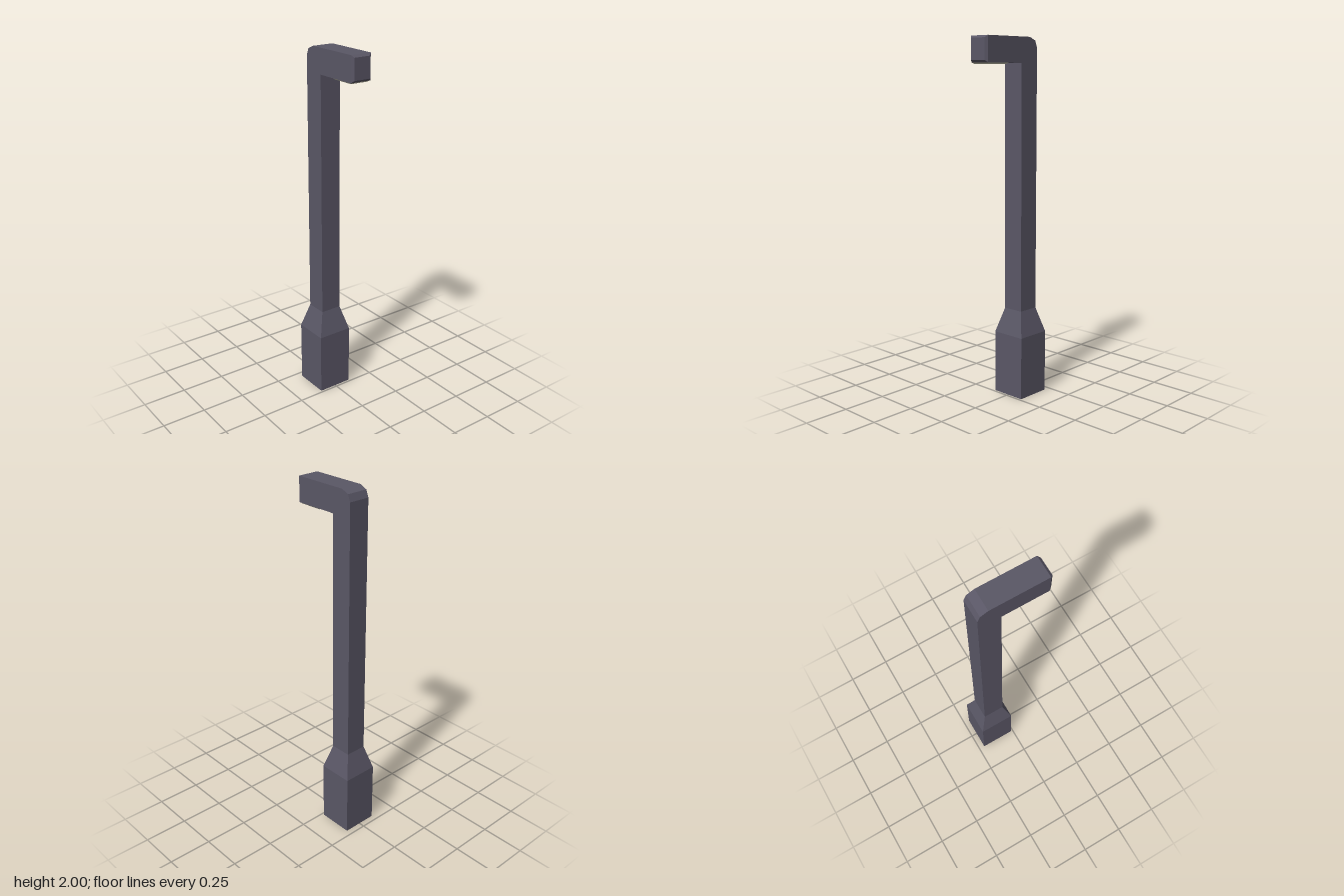
import * as THREE from 'three';

const metal = new THREE.MeshStandardMaterial({ color: 0x5a5766, flatShading: true });
const glow = new THREE.MeshStandardMaterial({ color: 0xc8c5b0, flatShading: true });

// Box standing on y = 0 whose top is drawn in by `inset` on every side
function taperedBox(w, h, d, inset) {
  const geo = new THREE.BoxGeometry(w, h, d).translate(0, h / 2, 0);
  const p = geo.attributes.position;
  for (let i = 0; i < p.count; i++) {
    if (p.getY(i) < h / 2) continue;
    p.setX(i, p.getX(i) - Math.sign(p.getX(i)) * inset);
    p.setZ(i, p.getZ(i) - Math.sign(p.getZ(i)) * inset);
  }
  geo.computeVertexNormals();
  return geo;
}

export function createModel() {
  const group = new THREE.Group();
  const add = (name, geo, mat, x, y, z) => {
    const mesh = new THREE.Mesh(geo, mat);
    mesh.name = name;
    mesh.position.set(x, y, z);
    group.add(mesh);
    return mesh;
  };
  const postZ = -0.114;

  // Square foot and its sloping shoulder
  add('base', taperedBox(0.202, 0.355, 0.202, 0), metal, 0, 0, postZ);
  add('shoulder', taperedBox(0.202, 0.14, 0.202, 0.04), metal, 0, 0.355, postZ);

  // Post and arm: one side profile (z, y) with a bevelled rear corner
  const profile = new THREE.Shape([
    [-0.175, 0.495], [-0.053, 0.495], [-0.053, 1.863], [0.2, 1.863], [0.2, 2],
    [-0.118, 2], [-0.16, 1.982], [-0.175, 1.945],
  ].map(([z, y]) => new THREE.Vector2(z, y)));
  const width = 0.122;
  const postGeo = new THREE.ExtrudeGeometry(profile, { depth: width, bevelEnabled: false })
    .translate(0, 0, -width / 2).rotateY(-Math.PI / 2);
  add('postAndArm', postGeo, metal, 0, 0, 0);

  // Bevelled end of the arm
  const cap = add('armEnd', taperedBox(width, 0.014, 0.137, 0.012), metal, 0, 1.9315, 0.2);
  cap.rotation.x = Math.PI / 2;

  // Lamp panel under the arm
  const lamp = add('lampPanel', taperedBox(0.118, 0.007, 0.15, 0.008), glow, 0, 1.863, 0.123);
  lamp.rotation.x = Math.PI;

  return group;
}
